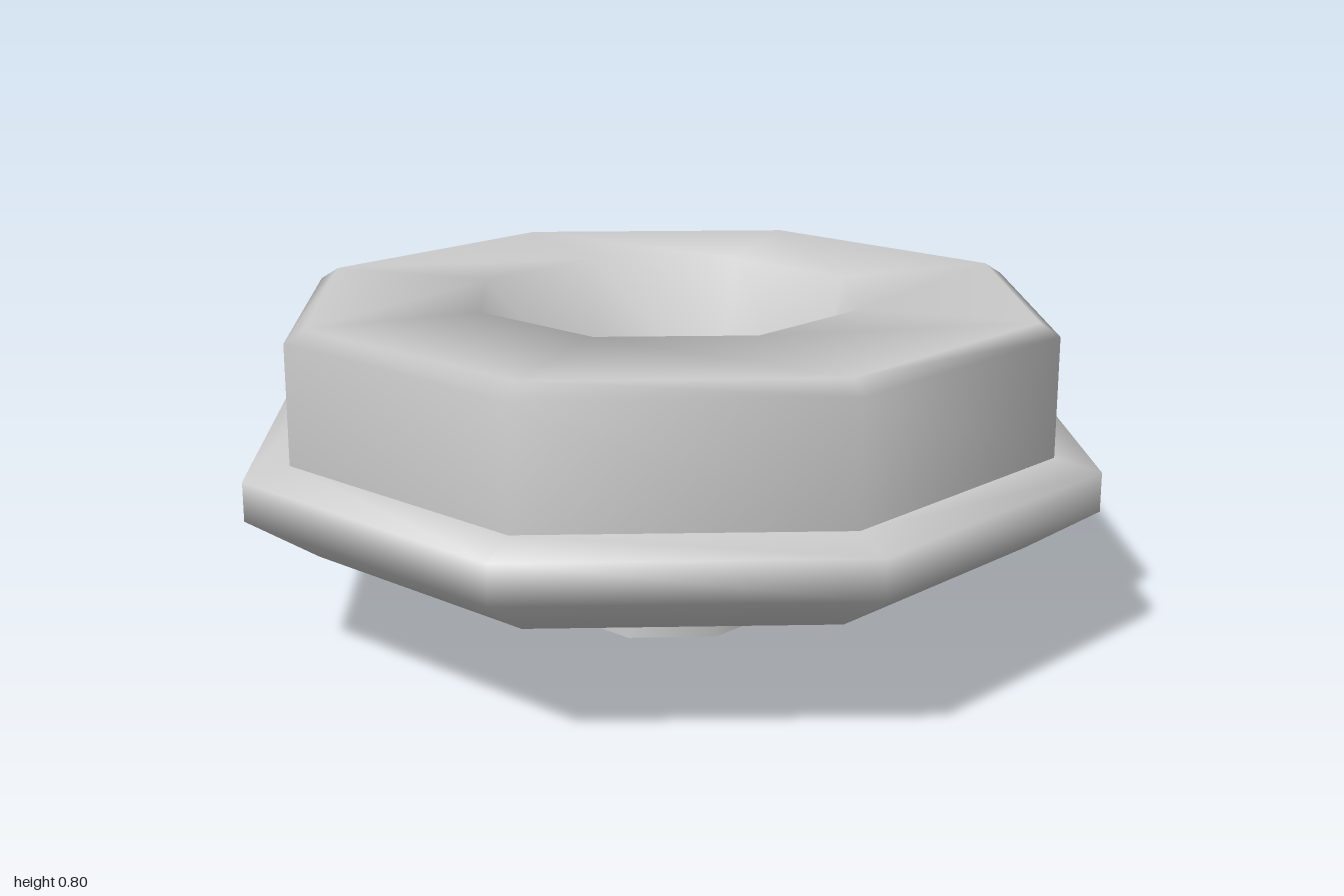
import * as THREE from 'three';

const SIDES = 8;
const TURN = THREE.MathUtils.degToRad(22.5 - 0.65); // flats face the axes, with a slight twist
const FLAT = Math.cos(TURN); // half-width across flats -> corner radius

export function createModel() {
  const group = new THREE.Group();
  const material = new THREE.MeshStandardMaterial({ color: 0xcccccc });

  // Eight-sided turned part; profile is [half-width, y], listed so the outside faces out
  const turned = (name, profile) => {
    const points = profile.map(([w, y]) => new THREE.Vector2(w / FLAT, y));
    const mesh = new THREE.Mesh(new THREE.LatheGeometry(points, SIDES, TURN), material);
    mesh.name = name;
    group.add(mesh);
  };

  // Small foot
  turned('footBottom', [[0, 0], [0.26, 0]]);
  turned('footSide', [[0.26, 0], [0.26, 0.13]]);

  // Shallow dish with a rounded rim
  turned('dish', [[0.26, 0.13], [0.84, 0.25], [1, 0.36], [1, 0.455], [0.895, 0.48]]);

  // Collar: outer wall, bevelled top and sloping inner well
  turned('collar', [[0.895, 0.48], [0.895, 0.77], [0.85, 0.8], [0.455, 0.8], [0.37, 0.4]]);

  // Floor of the well
  turned('wellFloor', [[0.37, 0.4], [0, 0.4]]);

  return group;
}
